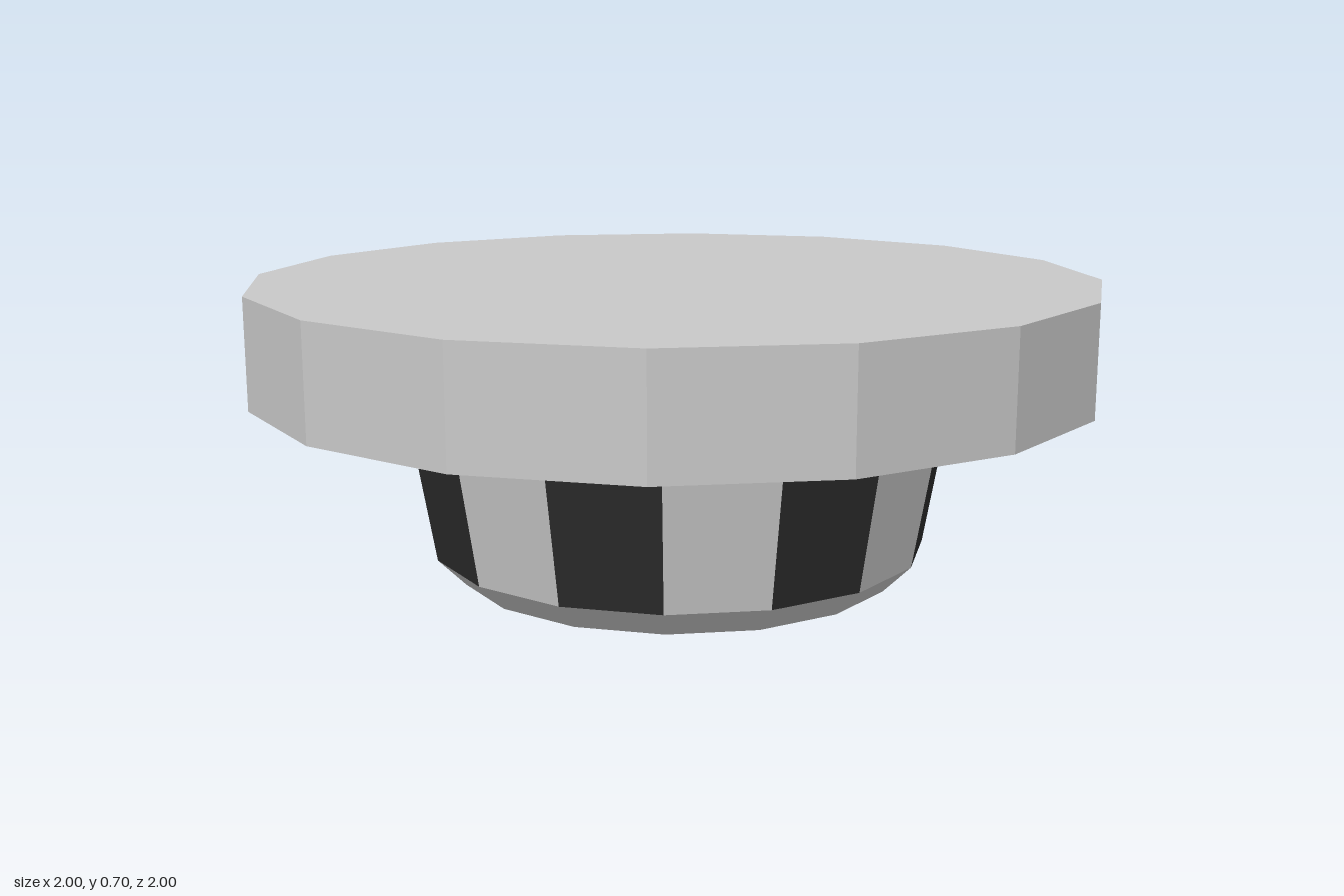
import * as THREE from 'three';

const SIDES = 16;

export function createModel() {
  const make = (name, color) => {
    const m = new THREE.MeshStandardMaterial({ color, flatShading: true });
    m.name = name;
    return m;
  };
  const grey = make('light grey', 0xc8c8c8);
  const black = make('black', 0x2b2b2b);
  const white = make('white', 0xfafafa);

  const model = new THREE.Group();
  model.name = 'stripedKnob';
  const add = (parent, name, geometry, material) => {
    const mesh = new THREE.Mesh(geometry, material);
    mesh.name = name;
    parent.add(mesh);
    return mesh;
  };
  // Faceted ring or drum between two heights
  const drum = (rTop, rBottom, y0, y1, open = true) =>
    new THREE.CylinderGeometry(rTop, rBottom, y1 - y0, SIDES, 1, open).translate(0, (y0 + y1) / 2, 0);

  // Wide disc on top
  add(model, 'topDisc', drum(1, 1, 0.449, 0.705, false), grey);

  // Tapered base, very slightly off the disc's centre
  const base = new THREE.Group();
  base.name = 'base';
  base.position.set(0.003, 0, 0.01);
  model.add(base);

  add(base, 'collar', drum(0.712, 0.655, 0.428, 0.449), grey);

  // Side wall with facets alternating dark and light
  const wall = drum(0.655, 0.593, 0.068, 0.428);
  wall.clearGroups();
  for (let i = 0; i < SIDES; i++) wall.addGroup(i * 6, 6, i % 2);
  add(base, 'stripedWall', wall, [black, grey]);

  // Bevelled foot and its underside
  add(base, 'footBevel', drum(0.593, 0.527, 0.002, 0.068), grey);
  const underside = new THREE.CircleGeometry(0.527, SIDES).rotateX(Math.PI / 2);
  add(base, 'footUnderside', underside, grey).position.y = 0.002;

  // Thin round plate under the foot
  const plate = new THREE.CylinderGeometry(0.263, 0.263, 0.003, 48);
  add(base, 'bottomPlate', plate, white).position.y = 0.0015;

  return model;
}
